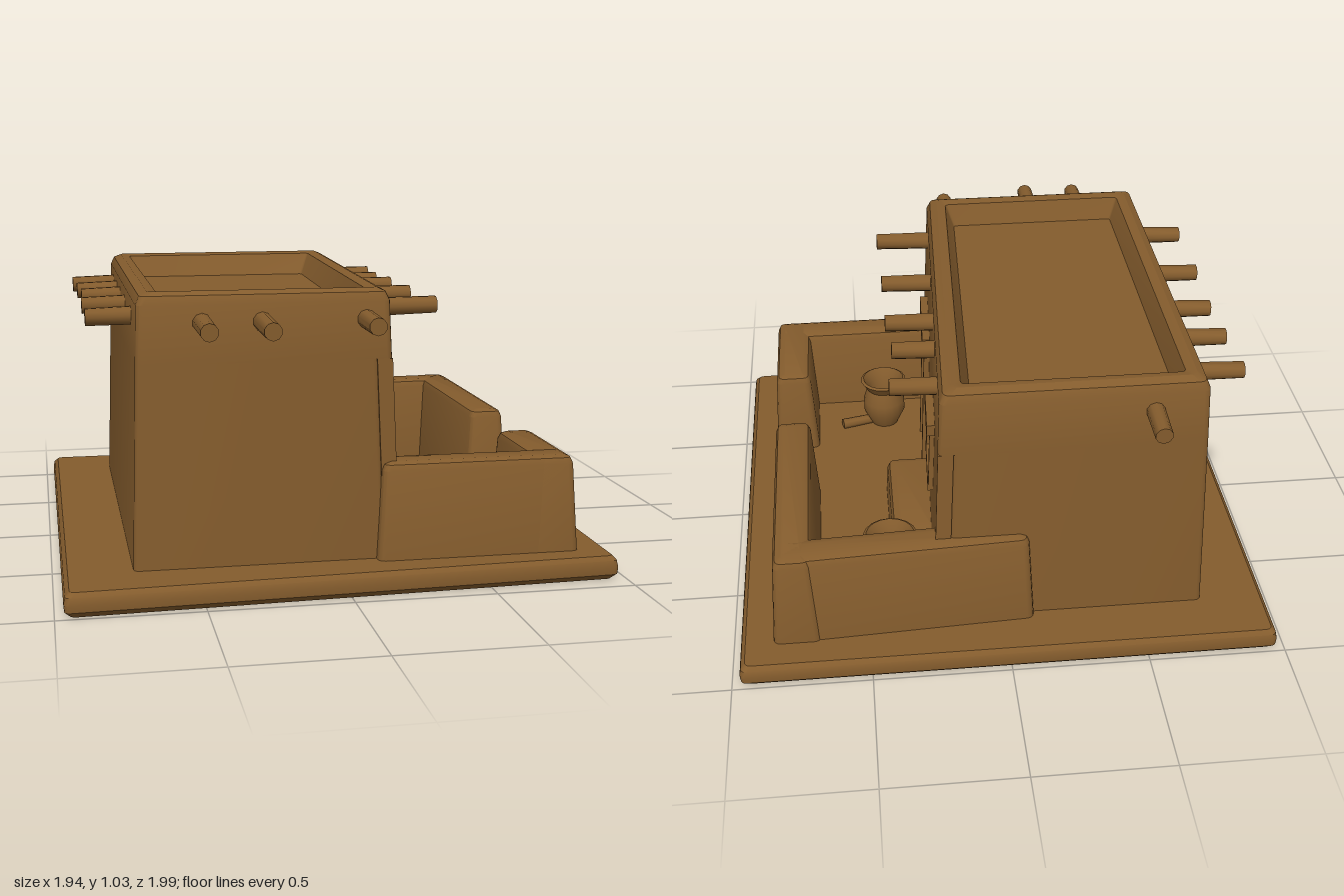
import * as THREE from 'three';
import { toCreasedNormals } from 'three/addons/utils/BufferGeometryUtils.js';

const adobe = new THREE.MeshStandardMaterial({ color: 0x845c2d });
adobe.name = 'adobe brown';

const GROUND = 0.085;

function part(parent, name, geometry) {
  const mesh = new THREE.Mesh(geometry, adobe);
  mesh.name = name;
  parent.add(mesh);
  return mesh;
}

// Applies a rule to every vertex
function bend(geometry, rule) {
  const p = geometry.attributes.position;
  const v = new THREE.Vector3();
  for (let i = 0; i < p.count; i++) {
    rule(v.fromBufferAttribute(p, i));
    p.setXYZ(i, v.x, v.y, v.z);
  }
  geometry.computeVertexNormals();
  return geometry;
}

// Skins a stack of rounded rectangles [y, x0, x1, z0, z1, radius], capped at both ends
function loft(rings, rule = () => {}) {
  const STEPS = 3;
  const loops = rings.map(([y, x0, x1, z0, z1, r]) => {
    const pts = [];
    const centres = [[x1 - r, z1 - r], [x0 + r, z1 - r], [x0 + r, z0 + r], [x1 - r, z0 + r]];
    centres.forEach(([cx, cz], c) => {
      for (let k = 0; k <= STEPS; k++) {
        const a = (c + k / STEPS) * Math.PI / 2;
        pts.push(new THREE.Vector3(cx + r * Math.cos(a), y, cz + r * Math.sin(a)));
      }
    });
    return pts;
  });
  const n = loops[0].length;
  const tris = [];
  for (let j = 0; j + 1 < loops.length; j++) {
    for (let i = 0; i < n; i++) {
      const k = (i + 1) % n;
      const a = loops[j][i], b = loops[j][k], c = loops[j + 1][i], d = loops[j + 1][k];
      tris.push(a, c, b, b, c, d);
    }
  }
  const bottom = loops[0], top = loops[loops.length - 1];
  for (let i = 1; i + 1 < n; i++) {
    tris.push(bottom[0], bottom[i], bottom[i + 1], top[0], top[i + 1], top[i]);
  }
  const g = new THREE.BufferGeometry().setFromPoints(tris);
  return toCreasedNormals(bend(g, rule), 0.6);
}

// Tapering block with a softened top
function softBlock(x0, x1, z0, z1, h, taper, rule) {
  const ring = (y, inset, r) => [y, x0 + inset, x1 - inset, z0 + inset, z1 - inset, r];
  return loft([
    ring(GROUND - 0.02, 0, 0.025),
    ring(h - 0.03, taper, 0.025),
    ring(h - 0.009, taper + 0.009, 0.022),
    ring(h, taper + 0.03, 0.012),
  ], rule);
}

// Sloping, slightly skewed door side of the house
const faceX = (y) => 0.24 - 0.04 * y;
const skew = (v) => { if (v.x > 0) v.x -= 0.04 * v.z; };

// Plate lying on the door side; outline given as [z, y], from depth d0 to d1
function facePlate(outline, d0, d1, hole) {
  const toV = ([z, y]) => new THREE.Vector2(-z, y);
  const shape = new THREE.Shape(outline.map(toV));
  if (hole) shape.holes.push(new THREE.Path(hole.map(toV)));
  const g = new THREE.ExtrudeGeometry(shape, { depth: d1 - d0, bevelEnabled: false });
  g.translate(0, 0, d0);
  g.rotateY(Math.PI / 2);
  return bend(g, (v) => { v.x += faceX(v.y) - 0.04 * v.z; });
}
const rect = (z0, z1, y0, y1) => [[z0, y0], [z0, y1], [z1, y1], [z1, y0]];

function buildHouse() {
  const house = new THREE.Group();
  house.name = 'house';
  const HEAD = 0.79, BACK = 0.05;

  // Main walls, parapet and sunken roof
  const outer = (y, inset, r, setBack = 0) => [
    y, -0.73 + 0.03 * y + inset, faceX(y) - inset - setBack,
    -0.795 + 0.045 * y + inset, 0.795 - 0.03 * y - inset, r];
  part(house, 'walls and roof', loft([
    outer(0.06, 0, 0.02, BACK),
    outer(HEAD, 0, 0.02, BACK),
    outer(HEAD, 0, 0.02),
    outer(0.99, 0, 0.025),
    outer(1.02, 0.012, 0.025),
    outer(1.033, 0.04, 0.02),
    outer(1.025, 0.075, 0.015),
    [0.94, -0.595, 0.09, -0.63, 0.66, 0.01],
  ], skew));

  // Door-side wall with doorway notch and window opening
  const doorWall = [
    [0.793, 0.06], [0.771, HEAD], [-0.759, HEAD], [-0.792, 0.06],
    [0.15, 0.06], [0.15, 0.66], [0.40, 0.66], [0.40, 0.06],
  ];
  part(house, 'door wall', facePlate(doorWall, -0.055, 0, rect(-0.45, -0.21, 0.45, 0.69)));

  // Door frame
  part(house, 'door lintel', facePlate(rect(0.12, 0.465, 0.66, 0.72), -0.03, 0.03));
  part(house, 'door post left', facePlate(rect(0.118, 0.152, 0.06, 0.67), -0.03, 0.022));
  part(house, 'door post right', facePlate(rect(0.398, 0.432, 0.06, 0.67), -0.03, 0.022));

  // Window frame and shutter
  part(house, 'window lintel', facePlate(rect(-0.495, -0.175, 0.69, 0.735), -0.03, 0.03));
  part(house, 'window post left', facePlate(rect(-0.475, -0.448, 0.44, 0.69), -0.03, 0.018));
  part(house, 'window post right', facePlate(rect(-0.215, -0.19, 0.44, 0.69), -0.03, 0.018));
  part(house, 'window sill', facePlate(rect(-0.475, -0.19, 0.43, 0.455), -0.03, 0.02));
  part(house, 'window shutter', facePlate(rect(-0.36, -0.215, 0.45, 0.59), -0.055, -0.02));
  return house;
}

// Round roof beam between two points
function beam(parent, from, to) {
  const a = new THREE.Vector3(...from), b = new THREE.Vector3(...to);
  const m = part(parent, 'roof beam',
    toCreasedNormals(new THREE.CylinderGeometry(0.034, 0.031, a.distanceTo(b), 10), 0.7));
  m.position.copy(a).add(b).multiplyScalar(0.5);
  m.quaternion.setFromUnitVectors(new THREE.Vector3(0, 1, 0), b.sub(a).normalize());
}

function buildBeams() {
  const beams = new THREE.Group();
  beams.name = 'roof beams';
  [[-0.53, -0.87], [-0.3, -0.86], [-0.09, -0.85], [0.19, -0.86], [0.52, -0.86]]
    .forEach(([z, x]) => beam(beams, [x, 0.925, z], [-0.65, 0.93, z]));
  [[-0.55, 0.39], [-0.31, 0.37], [-0.115, 0.385], [0.185, 0.385], [0.54, 0.39]]
    .forEach(([z, x]) => beam(beams, [x, 0.945, z], [0.13, 0.94, z]));
  [[-0.48, 0.975], [-0.275, 0.99], [0.085, 0.94]]
    .forEach(([x, z]) => beam(beams, [x, 0.925, z], [x, 0.93, 0.7]));
  beam(beams, [-0.51, 0.92, -0.9], [-0.51, 0.925, -0.68]);
  return beams;
}

function buildCourtyard() {
  const yard = new THREE.Group();
  yard.name = 'courtyard';

  // Low enclosing walls with a gateway
  part(yard, 'back wall', softBlock(-0.1, 0.85, -0.875, -0.7, 0.44, 0.02,
    (v) => { v.z += 0.05 * (0.85 - v.x); }));
  part(yard, 'side wall', softBlock(0.675, 0.85, -0.875, 0.04, 0.44, 0.02));
  part(yard, 'gate wall', softBlock(0.675, 0.855, 0.325, 0.835, 0.43, 0.02));
  part(yard, 'front wall', softBlock(0.12, 0.855, 0.66, 0.835, 0.43, 0.02));

  // Bench against the house
  part(yard, 'bench', softBlock(0.18, 0.405, -0.55, 0.045, 0.22, 0.008));

  // Clay pots
  const profile = [[0, 0], [0.055, 0], [0.088, 0.07], [0.088, 0.12], [0.07, 0.175],
    [0.096, 0.215], [0.085, 0.222], [0.06, 0.18], [0.05, 0.12], [0, 0.11]]
    .map(([r, y]) => new THREE.Vector2(r, y));
  for (const [x, z, s] of [[0.41, -0.57, 1.05], [0.39, 0.51, 1]]) {
    const pot = part(yard, 'clay pot', toCreasedNormals(new THREE.LatheGeometry(profile, 18), 0.7));
    pot.position.set(x, GROUND - 0.005, z);
    pot.scale.setScalar(s);
  }

  // Small log beside the front pot
  const log = part(yard, 'log', new THREE.CylinderGeometry(0.02, 0.022, 0.13, 8));
  log.rotation.set(0, 0.25, Math.PI / 2);
  log.position.set(0.51, GROUND + 0.015, 0.485);
  return yard;
}

export function createModel() {
  const model = new THREE.Group();
  model.name = 'adobe house';

  // Ground slab, a little shallower on one front corner
  const slab = (y, inset) => [y, -0.97 + inset, 0.97 - inset, -0.995 + inset, 1 - inset, 0.02];
  part(model, 'ground slab', loft(
    [slab(0, 0.02), slab(0.02, 0.002), slab(0.045, 0), slab(0.07, 0.005), slab(GROUND, 0.02)],
    (v) => { if (v.z > 0) v.z -= 0.035 * (v.x + 0.97); }));

  model.add(buildHouse(), buildBeams(), buildCourtyard());
  return model;
}
